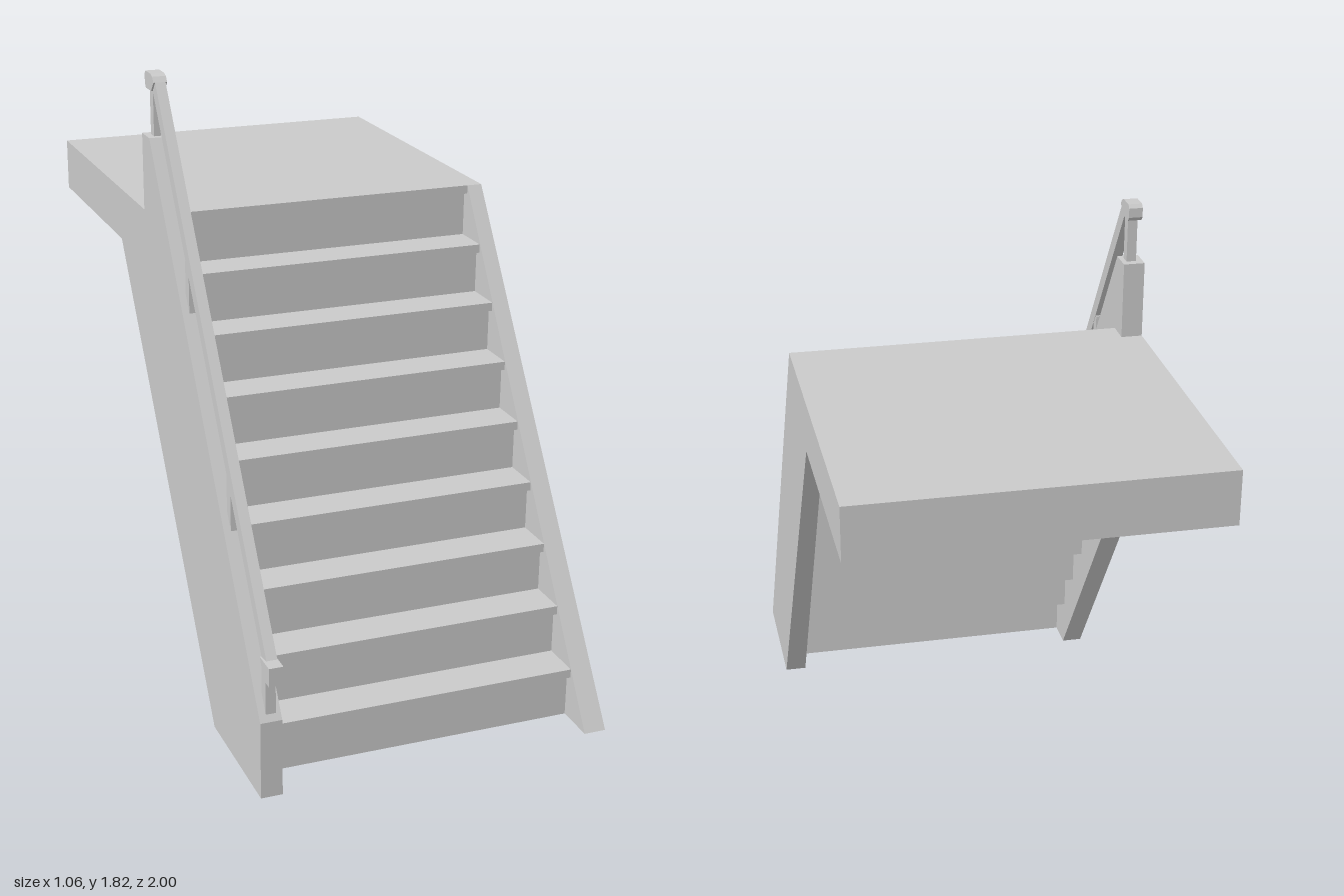
import * as THREE from 'three';

export function createModel() {
  const group = new THREE.Group();
  const grey = new THREE.MeshStandardMaterial({ color: 0xcacaca, side: THREE.DoubleSide });
  grey.name = 'plain grey';

  const add = (name, geometry) => {
    const mesh = new THREE.Mesh(geometry, grey);
    mesh.name = name;
    group.add(mesh);
    return mesh;
  };

  // Box given by its limits on each axis
  const box = (name, x0, x1, y0, y1, z0, z1) => add(name,
    new THREE.BoxGeometry(x1 - x0, y1 - y0, z1 - z0)
      .translate((x0 + x1) / 2, (y0 + y1) / 2, (z0 + z1) / 2));

  // Side profile of [z, y] points, extruded across x
  const profile = (name, points, x0, x1) => {
    const shape = new THREE.Shape(points.map(p => new THREE.Vector2(...p)));
    const geometry = new THREE.ExtrudeGeometry(shape, { depth: x1 - x0, bevelEnabled: false });
    return add(name, geometry.rotateY(-Math.PI / 2).translate(x1, 0, 0));
  };

  // Drop the triangles lying on the floor, leaving a shell open underneath
  const openBottom = mesh => {
    const p = mesh.geometry.attributes.position;
    const kept = [];
    for (let i = 0; i < p.count; i += 3) {
      const corners = [i, i + 1, i + 2];
      if (corners.every(j => Math.abs(p.getY(j)) < 1e-5)) continue;
      corners.forEach(j => kept.push(p.getX(j), p.getY(j), p.getZ(j)));
    }
    mesh.geometry = new THREE.BufferGeometry();
    mesh.geometry.setAttribute('position', new THREE.Float32BufferAttribute(kept, 3));
    mesh.geometry.computeVertexNormals();
  };

  const half = 0.528, top = 1.405, steps = 9;
  const rise = 0.1555, run = 0.1043, nosing = 0.022, thick = 0.026;
  const under = rise * (steps - 1);

  // Landing slab
  box('landing', -half, half, under, top, -1, -0.32);

  // Flight: nosed treads in front, stepped soffit behind
  const flight = [];
  for (let k = 1; k <= steps; k++) {
    const z = 0.86 - run * (k - 1), y = k === steps ? top : k * rise;
    flight.push([z - nosing, (k - 1) * rise], [z - nosing, y - thick], [z, y - thick], [z, y]);
  }
  flight.push([-0.32, top], [-0.32, under]);
  for (let k = steps - 1; k >= 1; k--) {
    const z = 0.645 - run * (k - 1);
    flight.push([z, k * rise], [z, (k - 1) * rise]);
  }
  openBottom(profile('steps', flight, -0.475, 0.49));

  // Tall stringer that carries the handrail
  openBottom(profile('railStringer', [
    [0.965, 0], [0.965, 0.23], [0.025, 1.635], [-0.05, 1.635],
    [-0.05, top], [-0.32, top], [-0.32, under], [0.55, 0],
  ], -half, -0.465));

  // Low stringer, its inner face tapering slightly towards the top
  const low = profile('lowStringer', [
    [0.965, 0], [0.026, top], [-0.32, top], [-0.32, under], [0.55, 0],
  ], 0.462, half);
  const pos = low.geometry.attributes.position;
  for (let i = 0; i < pos.count; i++) {
    if (pos.getX(i) < 0.5) pos.setX(i, 0.462 + 0.02 * pos.getY(i) / top);
  }
  openBottom(low);

  // Handrail with a slightly wider return at each end
  profile('handrail', [
    [0.965, 0.415], [0.035, 1.797], [0.008, 1.768], [0.925, 0.41],
  ], -0.509, -0.478);
  profile('topReturn', [
    [0.035, 1.797], [0.022, 1.812], [0.005, 1.818], [-0.045, 1.818],
    [-0.055, 1.808], [-0.055, 1.78], [-0.045, 1.768], [0.008, 1.768],
  ], -0.514, -0.473);
  profile('bottomReturn', [
    [1, 0.41], [0.968, 0.41], [0.925, 0.41], [0.945, 0.375], [0.965, 0.355], [1, 0.355],
  ], -0.514, -0.473);

  // Posts between stringer and handrail: [centre z, bottom, top]
  [[0.937, 0.24, 0.4], [0.655, 0.66, 0.83], [0.305, 1.18, 1.34], [-0.01, 1.62, 1.78]]
    .forEach(([z, y0, y1], i) =>
      box('railPost' + (i + 1), -0.508, -0.479, y0, y1, z - 0.016, z + 0.016));

  return group;
}
